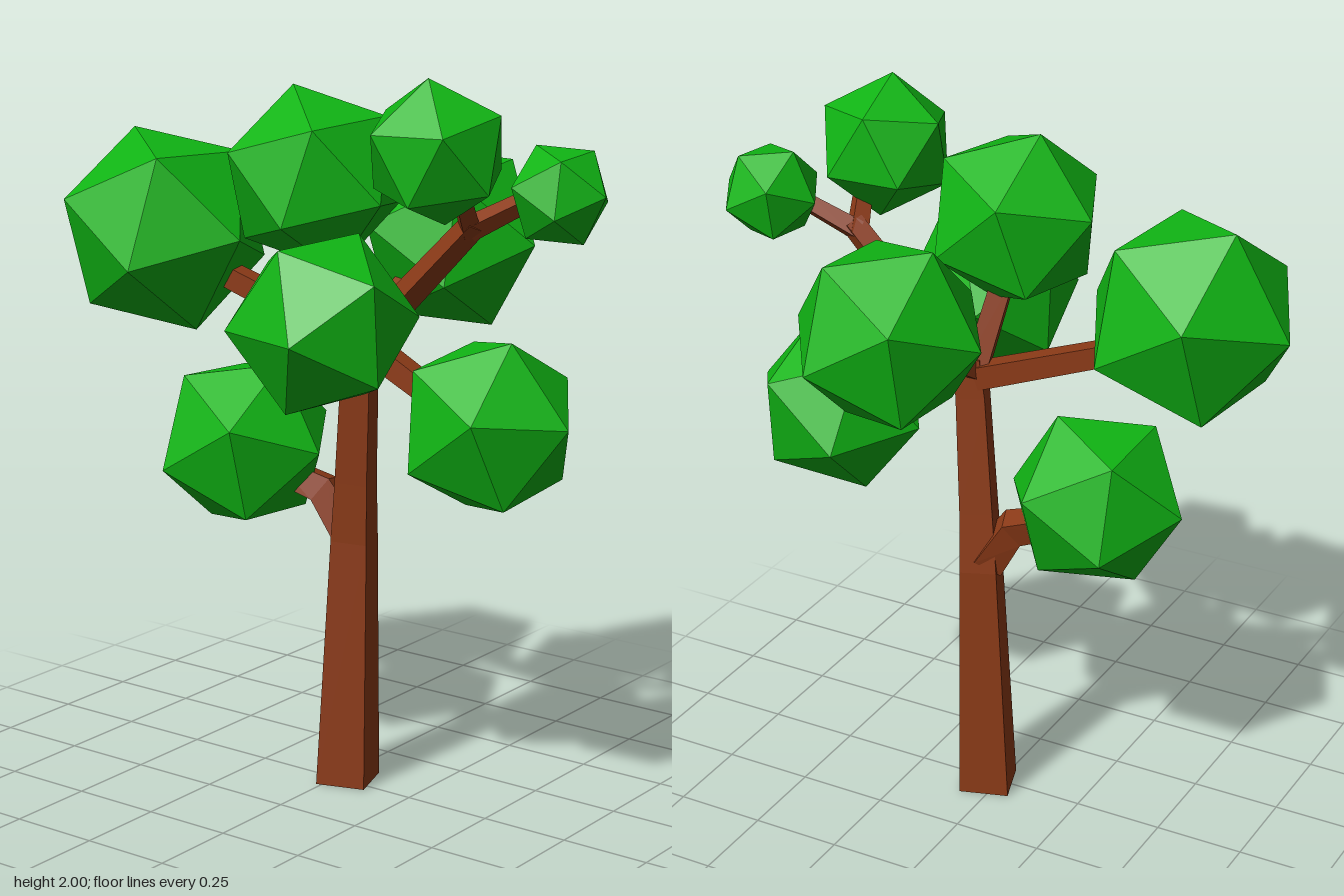
import * as THREE from 'three';

const bark = new THREE.MeshStandardMaterial({ color: 0x8b3a17, flatShading: true });
const leaf = new THREE.MeshStandardMaterial({ color: 0x10b414, flatShading: true });
const V = (a) => new THREE.Vector3(a[0], a[1], a[2]);

// Four-sided tapering limb through [x, y, z, radius] stations; ref aims its first corner
function limb(name, stations, ref) {
  const pts = stations.map(V), n = pts.length, pos = [], idx = [];
  pts.forEach((p, i) => {
    const t = i === 0 ? pts[1].clone().sub(p) : p.clone().sub(pts[i - 1]).normalize();
    if (i > 0 && i < n - 1) t.add(pts[i + 1].clone().sub(p).normalize());
    if (name === 'trunk' && i === 0) t.set(0, 1, 0);
    t.normalize();
    const u = V(ref).projectOnPlane(t).normalize();
    const w = t.clone().cross(u);
    for (let k = 0; k < 4; k++) {
      const a = k * Math.PI / 2, r = stations[i][3];
      const q = p.clone().addScaledVector(u, r * Math.cos(a)).addScaledVector(w, r * Math.sin(a));
      pos.push(q.x, q.y, q.z);
      if (i < n - 1) {
        const b = i * 4, m = (k + 1) % 4;
        idx.push(b + k, b + m, b + 4 + m, b + k, b + 4 + m, b + 4 + k);
      }
    }
  });
  const e = (n - 1) * 4;
  idx.push(0, 2, 1, 0, 3, 2, e, e + 1, e + 2, e, e + 2, e + 3);
  const g = new THREE.BufferGeometry();
  g.setAttribute('position', new THREE.Float32BufferAttribute(pos, 3));
  g.setIndex(idx);
  g.computeVertexNormals();
  const mesh = new THREE.Mesh(g, bark);
  mesh.name = name;
  return mesh;
}

// Rotation whose y axis is the pole and whose x axis leans to the neighbour
function frame(pole, side) {
  const y = V(pole).normalize();
  const x = V(side).projectOnPlane(y).normalize();
  const m = new THREE.Matrix4().makeBasis(x, y, x.clone().cross(y));
  return new THREE.Quaternion().setFromRotationMatrix(m);
}
const PHI = (1 + Math.sqrt(5)) / 2;
const baseTurn = frame([-1, PHI, 0], [1, PHI, 0]).invert();

// Icosahedral clump of leaves, turned so two adjacent corners point along pole and side
function clump(name, center, r, pole, side) {
  const mesh = new THREE.Mesh(new THREE.IcosahedronGeometry(r, 0), leaf);
  mesh.name = name;
  mesh.position.copy(V(center));
  mesh.quaternion.copy(frame(pole, side)).multiply(baseTurn);
  return mesh;
}

export function createModel() {
  const tree = new THREE.Group();
  tree.name = 'tree';

  // Trunk and branches
  const up = [-0.46, 0, 0.9];
  tree.add(
    limb('trunk', [[0.016, 0, 0.03, 0.098], [0.02, 0.7, 0.048, 0.072], [0.01, 0.87, 0.06, 0.064],
      [-0.01, 1.2, 0.088, 0.056], [-0.01, 1.31, 0.1, 0.05]], up),
    limb('lowBackBranch', [[0.015, 0.72, 0.03, 0.06], [0, 0.83, -0.04, 0.055], [-0.03, 0.88, -0.2, 0.045]], [1, 0.6, 0]),
    limb('lowFrontBranch', [[-0.01, 1.27, 0.08, 0.045], [-0.01, 1.1, 0.42, 0.04]], [1, 1, 0]),
    limb('backBranch', [[-0.01, 1.26, 0.07, 0.045], [-0.06, 1.42, -0.38, 0.04]], [1, 1, 0]),
    limb('leftBranch', [[-0.01, 1.28, 0.09, 0.045], [0.22, 1.42, 0.13, 0.04]], [0, 1, 1]),
    limb('rightBranch', [[-0.01, 1.25, 0.09, 0.045], [-0.22, 1.36, 0.17, 0.04]], [0, 1, 1]),
    limb('upperBranch', [[-0.01, 1.27, 0.08, 0.045], [-0.09, 1.54, 0.03, 0.04]], up),
    limb('highFrontBranch', [[-0.01, 1.26, 0.1, 0.045], [-0.02, 1.62, 0.46, 0.036]], [1, 0.3, 0]),
    limb('topTwig', [[-0.01, 1.59, 0.44, 0.034], [-0.11, 1.72, 0.47, 0.028]], [0, 0, 1]),
    limb('frontTwig', [[-0.02, 1.6, 0.44, 0.034], [0.03, 1.68, 0.58, 0.028]], [1, 0, 0])
  );

  // Leaf clumps
  tree.add(
    clump('topLeaves', [-0.14, 1.81, 0.42], 0.194, [-0.2, 0.97, 0], [0.85, 0.5, -0.1]),
    clump('smallFrontLeaves', [0.06, 1.7, 0.66], 0.14, [-0.05, 0.05, 1], [0.5, 0.85, 0.3]),
    clump('upperLeaves', [-0.09, 1.7, 0], 0.25, [0, 0.95, -0.28], [0.16, 0.27, -0.93]),
    clump('backLeaves', [-0.1, 1.515, -0.505], 0.295, [0.14, 0, -0.99], [0.1, 0.88, -0.45]),
    clump('leftLeaves', [0.33, 1.5, 0.145], 0.266, [-0.03, 0, -1], [-0.1, 0.89, -0.45]),
    clump('rightLeaves', [-0.325, 1.375, 0.2], 0.25, [-0.95, -0.05, 0.3], [-0.42, 0.88, -0.2]),
    clump('lowFrontLeaves', [-0.01, 1.09, 0.5], 0.253, [-0.05, 0.1, 1], [-0.12, 0.9, 0.35]),
    clump('lowBackLeaves', [-0.065, 0.945, -0.26], 0.253, [0, 0, -1], [-0.05, -0.9, -0.43])
  );
  return tree;
}
